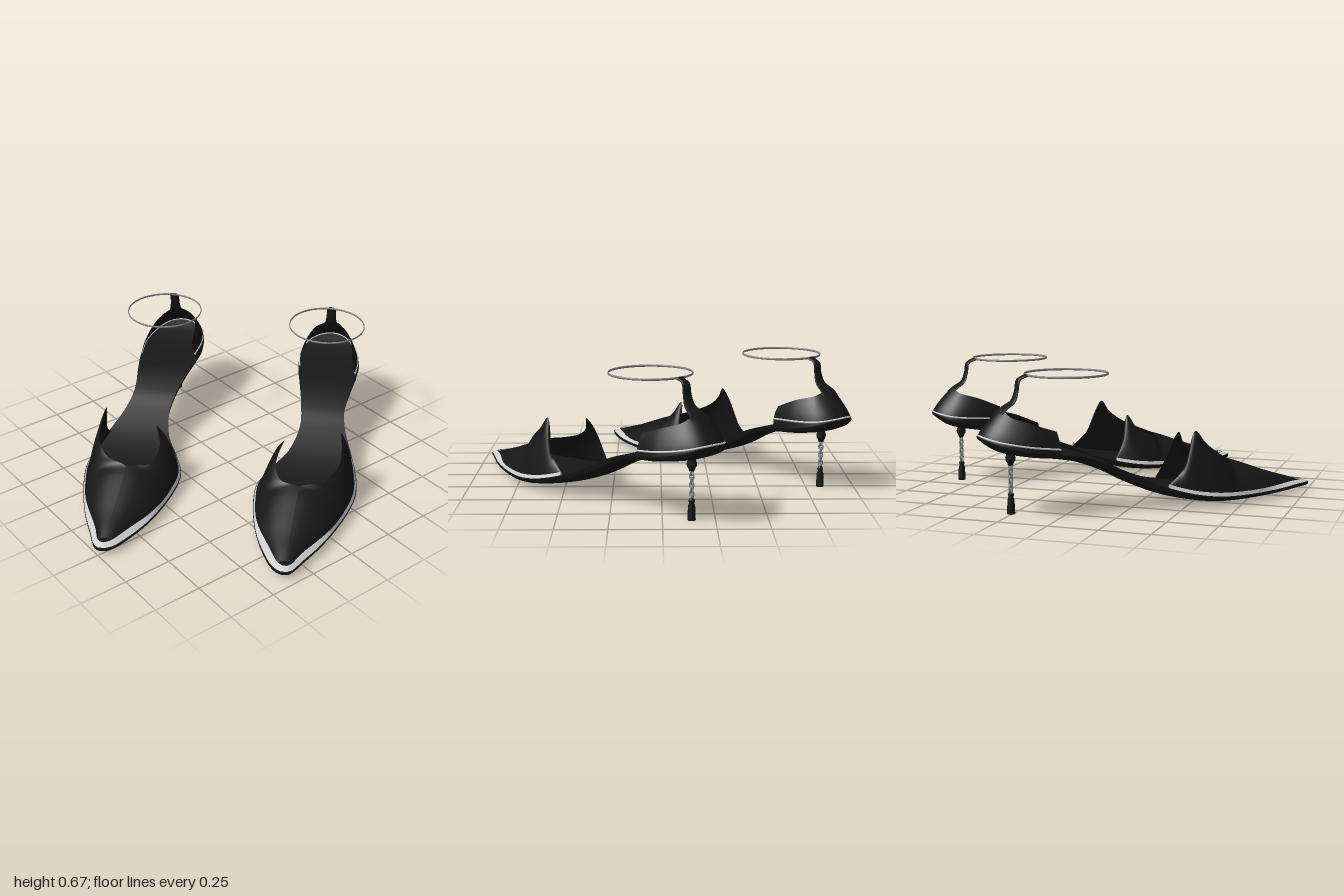
import * as THREE from 'three';

const V = (x, y, z) => new THREE.Vector3(x, y, z);
const mat = (color) => new THREE.MeshStandardMaterial({ color, side: THREE.DoubleSide });
const leather = mat(0x161616), piping = mat(0xcccccc), metal = mat(0x888888);
const spline = (pts) => new THREE.CatmullRomCurve3(pts);

// Smooth surface through rows of points
function grid(rows) {
  const n = rows[0].length, idx = [];
  for (let i = 0; i < rows.length - 1; i++) {
    for (let j = 0; j < n - 1; j++) {
      const a = i * n + j, b = a + n;
      idx.push(a, b, a + 1, a + 1, b, b + 1);
    }
  }
  const g = new THREE.BufferGeometry().setFromPoints(rows.flat());
  g.setIndex(idx);
  g.computeVertexNormals();
  return g;
}

// Sole stations along the foot: z, outer x, inner x, top y, bottom y
const SOLE = [
  [-0.892, -0.012, 0.025, 0.385, 0.375], [-0.872, -0.07, 0.085, 0.376, 0.358],
  [-0.81, -0.127, 0.139, 0.352, 0.315], [-0.675, -0.178, 0.168, 0.322, 0.287],
  [-0.55, -0.178, 0.156, 0.305, 0.272], [-0.43, -0.162, 0.13, 0.285, 0.245],
  [-0.28, -0.143, 0.098, 0.235, 0.185], [-0.17, -0.163, 0.086, 0.18, 0.128],
  [-0.02, -0.219, 0.12, 0.115, 0.066], [0.12, -0.26, 0.2, 0.075, 0.034],
  [0.25, -0.272, 0.25, 0.055, 0.018], [0.4, -0.245, 0.243, 0.045, 0.013],
  [0.65, -0.16, 0.183, 0.04, 0.013], [0.83, -0.072, 0.1, 0.04, 0.015],
  [0.885, -0.045, 0.062, 0.039, 0.018], [0.908, -0.025, 0.033, 0.038, 0.022], [0.915, -0.008, 0.012, 0.038, 0.027],
];
const outerEdge = spline(SOLE.map((r) => V(r[1], r[3], r[0])));
const innerEdge = spline(SOLE.map((r) => V(r[2], r[3], r[0])));
const bottomLine = spline(SOLE.map((r) => V(0, r[4], r[0])));

// Point on a sole edge at a given z
function edgeAt(curve, z) {
  let lo = 0, hi = 1;
  for (let i = 0; i < 24; i++) {
    const m = (lo + hi) / 2;
    if (curve.getPoint(m).z < z) lo = m; else hi = m;
  }
  return curve.getPoint(lo);
}
const tipAmount = (z) => THREE.MathUtils.smoothstep(z, 0.5, 0.9);

// Vamp ribs per side: base z, then top x, y, z (wing, peak, throat, ridge)
const RIDGE = [[0.46, 0.005, 0.178, 0.48], [0.56, 0.005, 0.142, 0.58], [0.7, 0.005, 0.103, 0.69],
  [0.82, 0.005, 0.073, 0.79], [0.885, 0.005, 0.055, 0.845]];
const OUTER = [
  [0, -0.205, 0.115, 0], [0.05, -0.197, 0.2, 0.09], [0.11, -0.17, 0.375, 0.164],
  [0.18, -0.182, 0.315, 0.215], [0.25, -0.18, 0.26, 0.285], [0.33, -0.115, 0.215, 0.375],
  [0.4, 0.005, 0.195, 0.425], ...RIDGE,
];
const INNER = [
  [0.11, 0.185, 0.08, 0.11], [0.14, 0.165, 0.18, 0.16], [0.18, 0.115, 0.325, 0.209],
  [0.22, 0.142, 0.255, 0.255], [0.28, 0.142, 0.215, 0.315], [0.34, 0.1, 0.195, 0.385],
  [0.4, 0.005, 0.195, 0.425], ...RIDGE,
];

// Heel counter: base x, z, base y, middle y, top y, top x, top z
const COUNTER = [
  [0.154, -0.54, 0.3, 0.37, 0.415, 0.13, -0.55], [0.165, -0.68, 0.317, 0.395, 0.465, 0.122, -0.67],
  [0.137, -0.81, 0.345, 0.405, 0.49, 0.09, -0.755], [0.075, -0.872, 0.37, 0.41, 0.508, 0.043, -0.775],
  [0, -0.89, 0.38, 0.413, 0.515, 0, -0.78], [-0.068, -0.87, 0.37, 0.41, 0.505, -0.043, -0.775],
  [-0.125, -0.81, 0.345, 0.395, 0.48, -0.085, -0.755], [-0.175, -0.675, 0.31, 0.365, 0.45, -0.125, -0.67],
  [-0.175, -0.54, 0.285, 0.335, 0.41, -0.145, -0.55],
];

// Builds one shoe; s = 1 or -1 mirrors it across its length
function makeShoe(s) {
  const shoe = new THREE.Group();
  const add = (name, geometry, material, parent = shoe) => {
    const m = new THREE.Mesh(geometry, material);
    m.name = name;
    parent.add(m);
    return m;
  };
  const flip = (p) => V(p.x * s, p.y, p.z);
  const surface = (name, rows, material) => add(name, grid(rows.map((r) => r.map(flip))), material);
  const span = (n, f) => Array.from({ length: n + 1 }, (_, i) => f(i / n));

  // Footbed and rounded outsole
  surface('footbed', span(110, (t) => {
    const a = outerEdge.getPoint(t), b = innerEdge.getPoint(t);
    return span(8, (k) => a.clone().lerp(b, k));
  }), leather);
  surface('outsole', span(110, (t) => {
    const a = outerEdge.getPoint(t), b = innerEdge.getPoint(t), y = bottomLine.getPoint(t).y;
    return span(16, (k) => {
      const p = a.clone().lerp(b, (1 - Math.cos(k * Math.PI)) / 2);
      p.y += (y - p.y) * Math.pow(Math.max(0, Math.sin(k * Math.PI)), 0.5);
      return p;
    });
  }), leather);

  // Pointed vamp with two wings and a scooped throat, domed towards the toe
  for (const [name, table, edge] of [['outerVamp', OUTER, outerEdge], ['innerVamp', INNER, innerEdge]]) {
    const top = spline(table.map((r) => V(r[1], r[2], r[3])));
    const base = spline(table.map((r) => V(r[0], 0, 0)));
    surface(name, span(90, (t) => {
      const T = top.getPoint(t), B = edgeAt(edge, base.getPoint(t).x);
      const tip = tipAmount(B.z), dome = THREE.MathUtils.smoothstep(T.z, 0.25, 0.45);
      B.x *= 0.945 - 0.2 * tip;
      B.z -= 0.04 * tip;
      const C = V(B.x + (T.x - B.x) * 0.36, B.y + (T.y - B.y) * (0.75 + 0.23 * dome), (B.z + T.z) / 2);
      const rib = new THREE.QuadraticBezierCurve3(B, C, T);
      return span(14, (k) => rib.getPoint(k));
    }), leather);
  }

  // Pale piping round the toe, widening at the tip
  const toeLine = [
    ...span(50, (t) => edgeAt(outerEdge, t * 0.913)),
    ...span(50, (t) => edgeAt(innerEdge, 0.913 - t * 0.8)),
  ];
  surface('toePiping', toeLine.map((p) => {
    const tip = tipAmount(p.z);
    return [
      V(p.x * 0.985, p.y + 0.003, p.z - 0.006 * tip),
      V(p.x * (0.95 - 0.2 * tip), p.y + 0.02 - 0.004 * tip, p.z - 0.036 * tip),
    ];
  }), piping);

  // Heel counter wall with its piping
  const wallBase = spline(COUNTER.map((r) => V(r[0], r[2], r[1])));
  const wallMid = spline(COUNTER.map((r) => V(r[0] * 0.98, r[3], r[1] + 0.008)));
  const wallTop = spline(COUNTER.map((r) => V(r[5], r[4], r[6])));
  const wallRib = (t) => new THREE.QuadraticBezierCurve3(wallBase.getPoint(t), wallMid.getPoint(t), wallTop.getPoint(t));
  surface('heelCounter', span(60, (t) => span(10, (k) => wallRib(t).getPoint(k))), leather);
  // piping sinks to the base of the wall at the back
  const heelLine = spline(span(40, (t) => flip(wallRib(t).getPoint(0.38 - 0.26 * Math.sin(t * Math.PI)))));
  add('heelPiping', new THREE.TubeGeometry(heelLine, 80, 0.005, 6), piping);

  // Back strap, flaring into the counter: centre line with half widths
  const strapLine = spline([V(0, 0.49, -0.79), V(0, 0.515, -0.76), V(0, 0.545, -0.718),
    V(0, 0.595, -0.7), V(0, 0.645, -0.69), V(0, 0.666, -0.65)]);
  const strapWidth = spline([0.055, 0.048, 0.034, 0.026, 0.025, 0.025].map((w) => V(w, 0, 0)));
  surface('backStrap', span(30, (t) => {
    const c = strapLine.getPoint(t), n = strapLine.getTangent(t), w = strapWidth.getPoint(t).x;
    // closed oval section, thin along the strap's normal
    return span(16, (k) => {
      const a = k * Math.PI * 2, d = Math.sin(a) * 0.008;
      return V(c.x + Math.cos(a) * w, c.y - n.z * d, c.z + n.y * d);
    });
  }), leather);

  // Ankle ring, a thin flat band
  const ring = add('ankleRing', new THREE.TorusGeometry(0.203, 0.0028, 8, 72), metal);
  ring.rotation.x = Math.PI / 2;
  ring.scale.z = 2;
  ring.position.set(0.004, 0.667, -0.447);

  // Heel post: knob, chain links and tassel
  const heel = new THREE.Group();
  heel.name = 'heelPost';
  heel.position.z = -0.734;
  shoe.add(heel);
  const lathe = (pts) => new THREE.LatheGeometry(pts.map((p) => new THREE.Vector2(...p)), 16);
  add('heelKnob', lathe([[0, 0.235], [0.012, 0.238], [0.016, 0.25], [0.023, 0.262], [0.025, 0.275],
    [0.02, 0.29], [0.024, 0.312]]), leather, heel);
  for (let i = 0; i < 7; i++) {
    const link = add('chainLink', new THREE.TorusGeometry(0.01, 0.0045, 6, 14), metal, heel);
    link.scale.y = 1.4;
    link.position.y = 0.232 - i * 0.021;
    link.rotation.y = (i % 2) * Math.PI / 2 + 0.4;
  }
  add('tassel', lathe([[0, 0.108], [0.01, 0.106], [0.016, 0.095], [0.012, 0.082], [0.017, 0.07],
    [0.02, 0.004], [0.018, 0], [0, 0]]), leather, heel);
  return shoe;
}

export function createModel() {
  const model = new THREE.Group();
  model.name = 'pairOfShoes';
  // Mirrored pair, side by side and turned together
  const pair = new THREE.Group();
  pair.name = 'pair';
  pair.rotation.y = 0.715;
  for (const s of [1, -1]) {
    const shoe = makeShoe(s);
    shoe.name = s > 0 ? 'rightShoe' : 'leftShoe';
    shoe.position.x = -0.456 * s;
    pair.add(shoe);
  }
  model.add(pair);
  return model;
}
